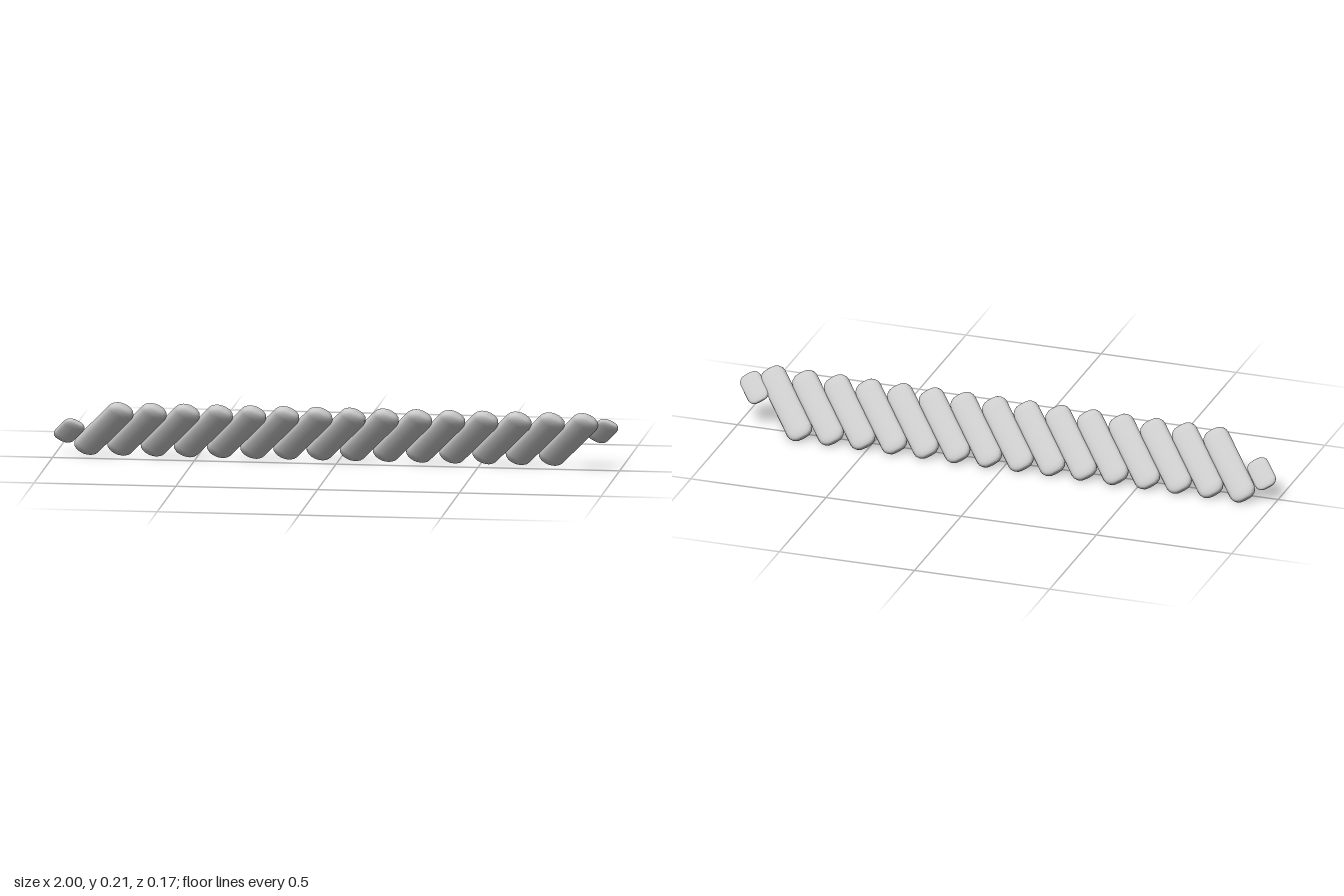
import * as THREE from 'three';
import { mergeVertices } from 'three/addons/utils/BufferGeometryUtils.js';

const TILT = 0.645; // lean of each strand within the band
const COS = 0.793, SIN = 0.609; // slope of the band from back-bottom to front-top

// Flattened pill: a lathe with rounded ends, pressed thin along z
function strandGeometry(halfWidth, halfLength, halfThick, round) {
  const flat = halfWidth - round;
  const pts = [new THREE.Vector2(0, -halfLength)];
  for (const side of [-1, 1]) {
    for (let i = 0; i <= 4; i++) {
      const a = (side < 0 ? i : 4 - i) * Math.PI / 8;
      pts.push(new THREE.Vector2(
        flat + round * Math.sin(a),
        side * (halfLength - round + round * Math.cos(a))));
    }
  }
  pts.push(new THREE.Vector2(0, halfLength));
  const lathe = new THREE.LatheGeometry(pts, 20);
  lathe.deleteAttribute('uv');
  lathe.deleteAttribute('normal');
  const p = lathe.attributes.position;
  for (let i = 0; i < p.count; i++) {
    const z = p.getZ(i);
    const k = Math.abs(z) < 1e-6 ? 0 : Math.pow(Math.abs(z) / halfWidth, 0.7);
    p.setZ(i, Math.sign(z) * halfThick * k);
  }
  const geo = mergeVertices(lathe, 1e-5);
  geo.computeVertexNormals();
  return geo;
}

export function createModel() {
  const group = new THREE.Group();
  group.name = 'twistedCord';
  const material = new THREE.MeshStandardMaterial({ color: 0xcccccc });

  // Shared orientation of all strands
  const axis = new THREE.Vector3(Math.sin(TILT), Math.cos(TILT) * COS, Math.cos(TILT) * SIN).normalize();
  const face = new THREE.Vector3(0, -SIN, COS).normalize();
  const across = new THREE.Vector3().crossVectors(axis, face);
  const turn = new THREE.Matrix4().makeBasis(across, axis, face);

  function addStrand(name, geometry, x, y, z) {
    const mesh = new THREE.Mesh(geometry, material);
    mesh.name = name;
    mesh.quaternion.setFromRotationMatrix(turn);
    mesh.position.set(x, y, z);
    group.add(mesh);
  }

  // Row of long strands
  const longGeo = strandGeometry(0.048, 0.143, 0.023, 0.034);
  for (let i = -7; i <= 7; i++) addStrand('strand' + (i + 8), longGeo, i * 0.117, 0.116, 0);

  // Short strands closing the two ends
  const shortGeo = strandGeometry(0.04, 0.056, 0.013, 0.025);
  addStrand('leftEndStrand', shortGeo, 0.943, 0.152, 0.016);
  addStrand('rightEndStrand', shortGeo, -0.943, 0.104, -0.012);

  return group;
}
